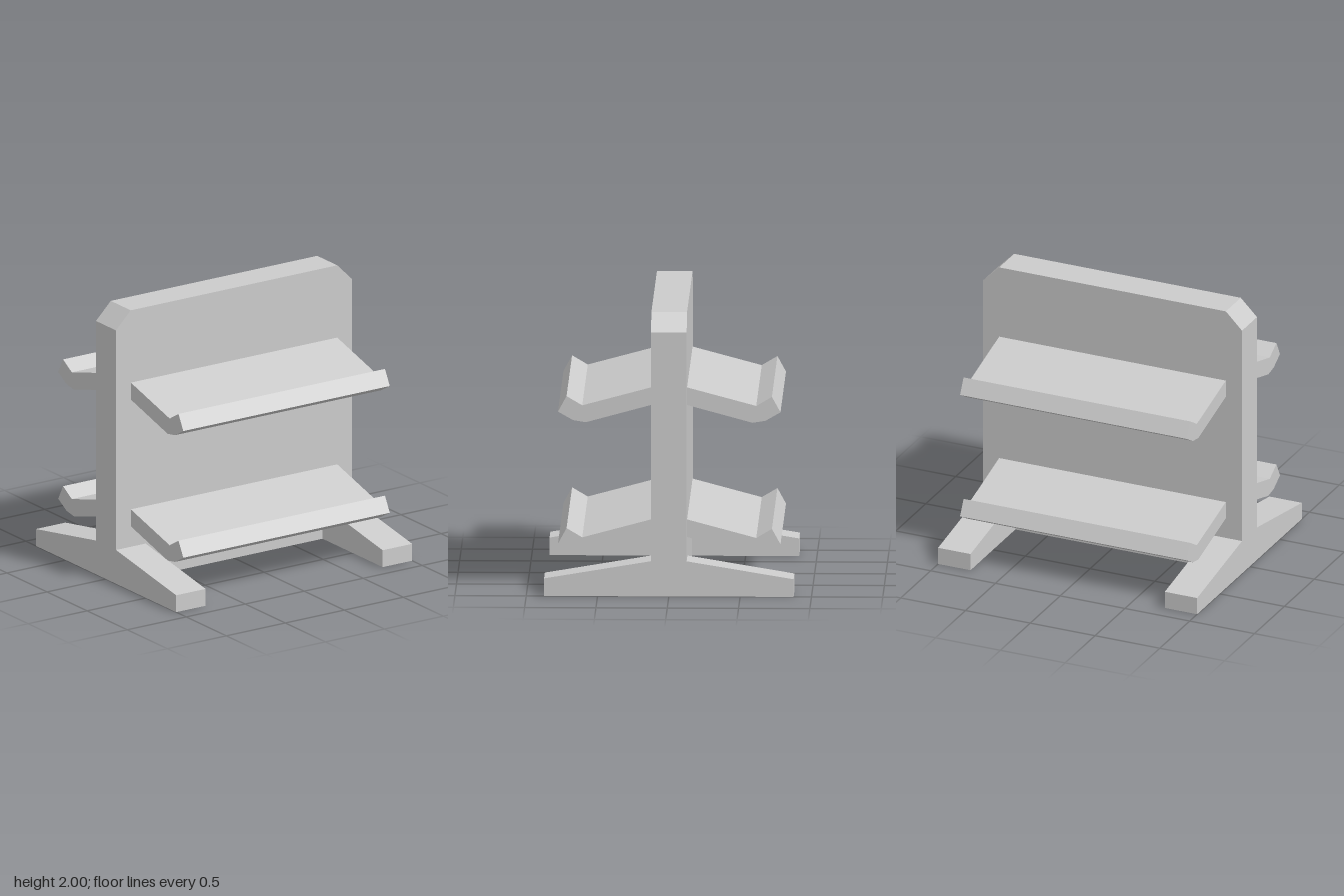
import * as THREE from 'three';

const material = new THREE.MeshStandardMaterial({ color: 0xcccccc, flatShading: true });

// Extrudes an outline of [a, b] points, centred on its depth
function slab(name, points, depth) {
  const shape = new THREE.Shape(points.map(([a, b]) => new THREE.Vector2(a, b)));
  const geometry = new THREE.ExtrudeGeometry(shape, { depth, bevelEnabled: false });
  geometry.translate(0, 0, -depth / 2);
  const mesh = new THREE.Mesh(geometry, material);
  mesh.name = name;
  return mesh;
}

// Extrudes a side profile of [z, y] points along x
function sideSlab(name, points, width) {
  const mesh = slab(name, points, width);
  mesh.geometry.rotateY(-Math.PI / 2);
  return mesh;
}

export function createModel() {
  const model = new THREE.Group();
  model.name = 'doubleSidedDisplayRack';

  // Upright board with clipped top corners
  model.add(slab('board', [
    [-1, 0], [1, 0], [1, 1.875], [0.875, 2], [-0.875, 2], [-1, 1.875],
  ], 0.25));

  // Sloping shelf with an upturned lip, heights measured from its upper root
  const shelfProfile = [
    [0.125, -0.125], [0.585, -0.25], [0.675, -0.235], [0.78, -0.175],
    [0.72, -0.065], [0.61, -0.13], [0.125, 0],
  ];
  // Tapered foot
  const footProfile = [[0.125, 0], [0.875, 0], [0.875, 0.125], [0.125, 0.25]];

  // The same shelves and feet on the front and back
  for (const [name, turn] of [['front', 0], ['back', Math.PI]]) {
    const side = new THREE.Group();
    side.name = name + 'Side';
    side.rotation.y = turn;
    for (const [level, y] of [['lower', 0.527], ['upper', 1.465]]) {
      const shelf = sideSlab(level + 'Shelf', shelfProfile, 1.75);
      shelf.position.y = y;
      side.add(shelf);
    }
    for (const x of [-0.875, 0.875]) {
      const foot = sideSlab('foot', footProfile, 0.25);
      foot.position.x = x;
      side.add(foot);
    }
    model.add(side);
  }
  return model;
}
